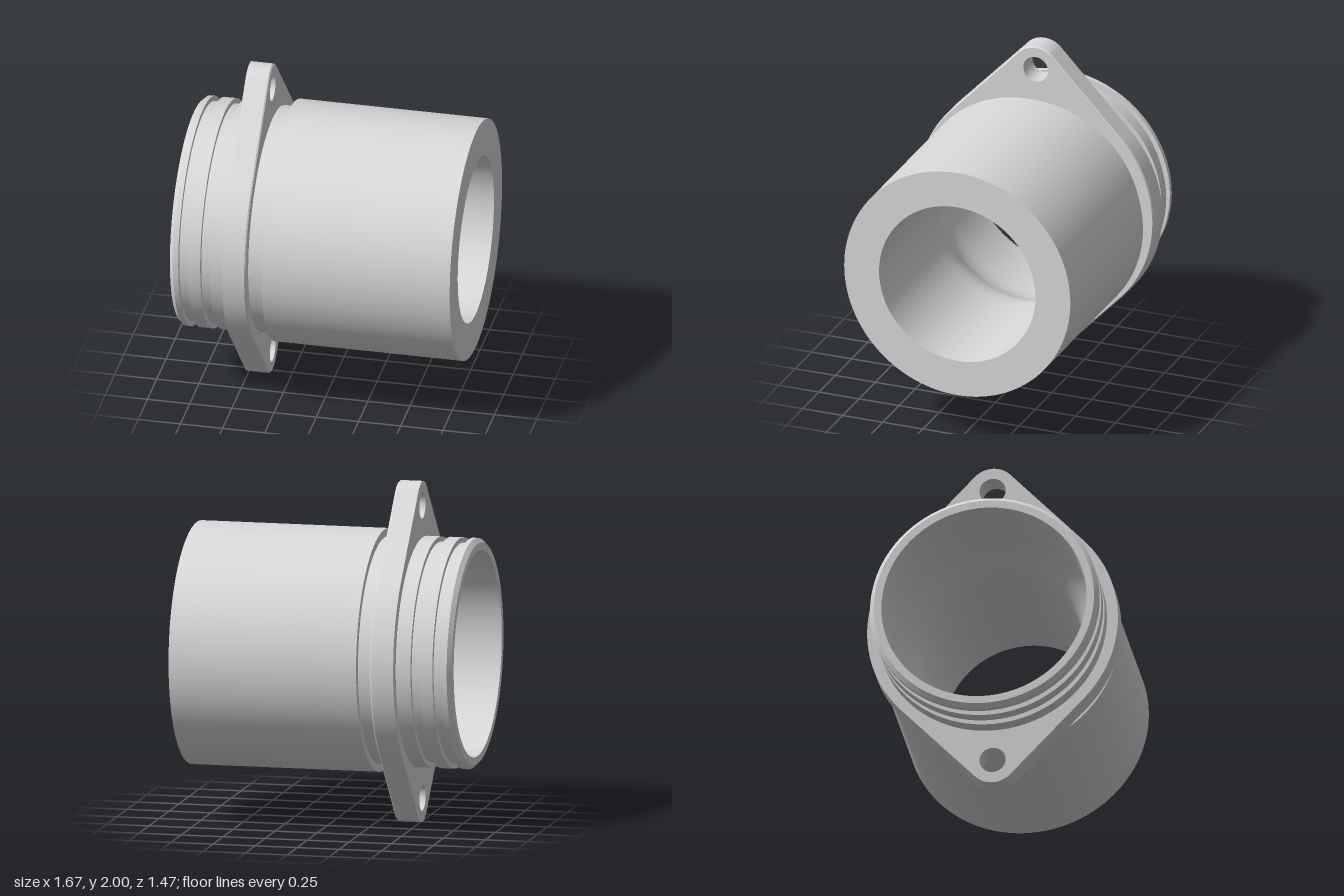
import * as THREE from 'three';
import { toCreasedNormals } from 'three/addons/utils/BufferGeometryUtils.js';

export function createModel() {
  const group = new THREE.Group();
  const metal = new THREE.MeshStandardMaterial({ color: 0xd9d9d9 });
  metal.name = 'light grey metal';
  const add = (name, geometry) => {
    const mesh = new THREE.Mesh(toCreasedNormals(geometry, 0.5), metal);
    mesh.name = name;
    mesh.position.y = 1;
    group.add(mesh);
  };

  // Sleeve outside: [radius, x] with chamfered lip, two ring grooves and barrel
  const outside = [
    [0.6, -0.835], [0.645, -0.835], [0.67, -0.81], [0.67, -0.78],
    [0.64, -0.78], [0.64, -0.725], [0.67, -0.725], [0.67, -0.65],
    [0.64, -0.65], [0.64, -0.595], [0.67, -0.595], [0.67, -0.44],
    [0.66, -0.44], [0.66, -0.28], [0.706, -0.28], [0.706, 0.835],
  ].map(([r, x]) => new THREE.Vector2(r, x));

  // Bore: narrow on the right, blending smoothly to the wide left mouth
  const blend = new THREE.CubicBezierCurve(
    new THREE.Vector2(0.488, 0), new THREE.Vector2(0.488, -0.22),
    new THREE.Vector2(0.6, -0.23), new THREE.Vector2(0.6, -0.45),
  );
  const profile = [
    ...outside, new THREE.Vector2(0.488, 0.835),
    ...blend.getPoints(20), new THREE.Vector2(0.6, -0.835),
  ];
  add('sleeve', new THREE.LatheGeometry(profile, 128).rotateZ(-Math.PI / 2));

  // Flange: large disc joined by tangents to a rounded ear at top and bottom
  const R = 0.734, ear = 0.142, reach = 0.858;
  const a = Math.asin((R - ear) / reach);
  const outline = new THREE.Shape();
  outline.absarc(0, 0, R, -a, a);
  outline.absarc(0, reach, ear, a, Math.PI - a);
  outline.absarc(0, 0, R, Math.PI - a, Math.PI + a);
  outline.absarc(0, -reach, ear, Math.PI + a, 2 * Math.PI - a);
  outline.closePath();

  // Bolt holes and the opening around the sleeve
  for (const [y, r] of [[reach, 0.077], [-reach, 0.077], [0, 0.65]]) {
    outline.holes.push(new THREE.Path().absarc(0, y, r, 0, Math.PI * 2, true));
  }
  const depth = 0.139, chamfer = 0.008;
  const flange = new THREE.ExtrudeGeometry(outline, {
    depth, steps: 2, bevelEnabled: false, curveSegments: 40,
  });

  // Chamfer the outer edge on the barrel side only
  const p = flange.attributes.position;
  for (let i = 0; i < p.count; i++) {
    const x = p.getX(i), y = p.getY(i), z = p.getZ(i);
    const outer = Math.hypot(x, y) > 0.7 && Math.hypot(x, Math.abs(y) - reach) > 0.1;
    if (Math.abs(z - depth / 2) < 0.001) p.setZ(i, depth - chamfer);
    else if (z > depth / 2 && outer) p.setXY(i, x * (1 - chamfer), y * (1 - chamfer));
  }
  add('flange', flange.rotateY(Math.PI / 2).translate(-0.507, 0, 0));

  return group;
}
